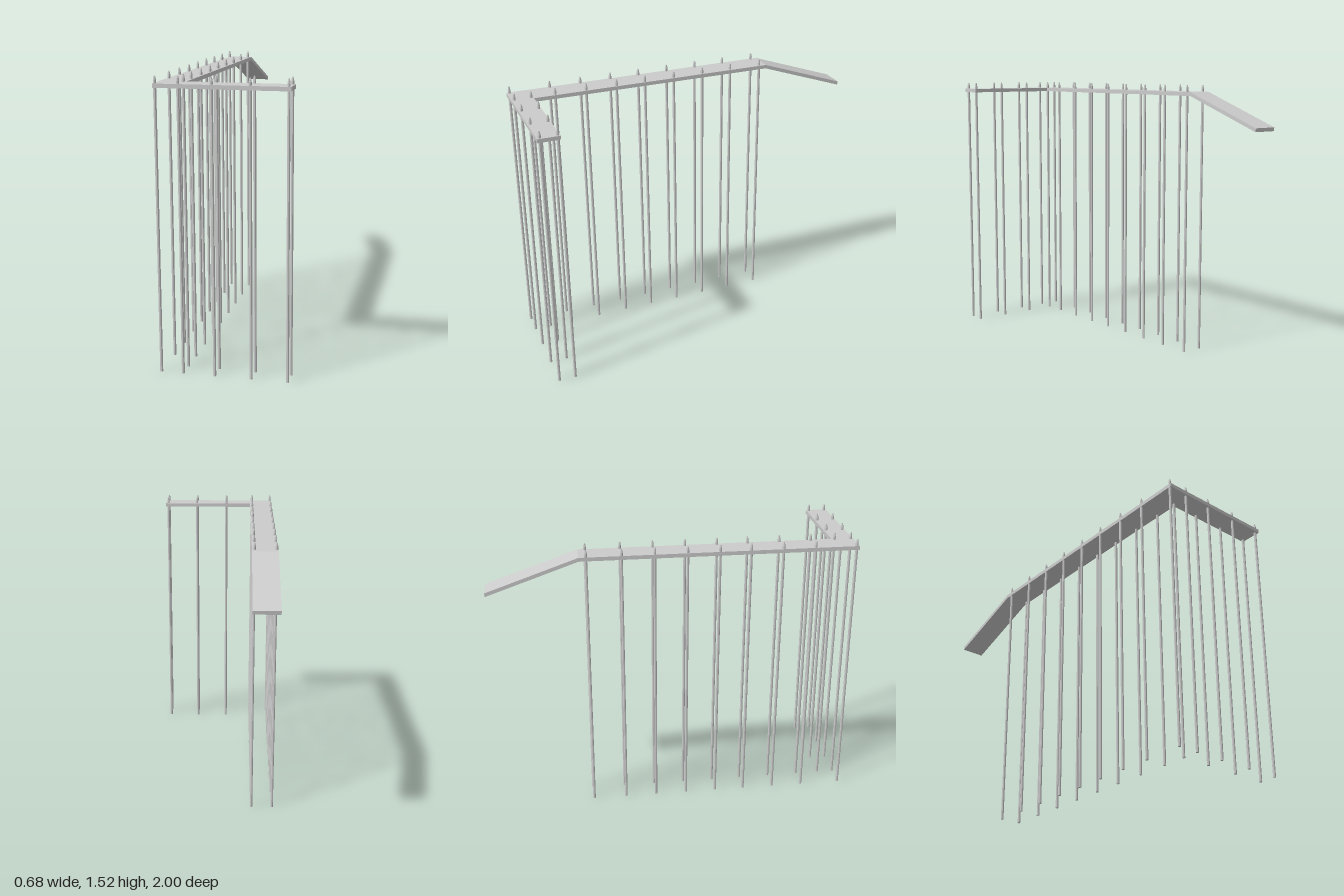
import * as THREE from 'three';

export function createModel() {
  const pier = new THREE.Group();
  pier.name = 'pier';
  const mat = new THREE.MeshStandardMaterial({ color: 0xcccccc, flatShading: true });
  const add = (geometry, name, parent = pier) => {
    const mesh = new THREE.Mesh(geometry, mat);
    mesh.name = name;
    parent.add(mesh);
    return mesh;
  };
  const outline = (points) => new THREE.Shape(points.map(([x, y]) => new THREE.Vector2(x, y)));
  const left = -0.34, inner = -0.203, right = 0.34;
  const deckTop = 1.48, thickness = 0.021;

  // L-shaped walkway, drawn in x/z and extruded downwards
  const walkway = outline([
    [left, -0.505], [inner, -0.505], [inner, 0.88], [right, 0.88], [right, 1], [left, 1],
  ]);
  const deck = new THREE.ExtrudeGeometry(walkway, { depth: thickness, bevelEnabled: false });
  deck.rotateX(Math.PI / 2);
  add(deck, 'walkway').position.y = deckTop;

  // Sloping ramp, drawn from the side (-z, y) and extruded across x
  const slope = outline([
    [0.505, deckTop - thickness], [0.997, 1.287], [1, 1.307], [0.505, deckTop],
  ]);
  const ramp = new THREE.ExtrudeGeometry(slope, { depth: inner - left, bevelEnabled: false });
  ramp.rotateY(Math.PI / 2);
  add(ramp, 'ramp').position.x = left;

  // Piles: slim shaft with a bluntly pointed cap
  const r = 0.0078;
  const pileProfile = [[0, 0], [r, 0], [r, 1.495], [r * 0.75, 1.507], [r * 0.4, 1.517], [0, 1.517]]
    .map(([x, y]) => new THREE.Vector2(x, y));
  const pileGeometry = new THREE.LatheGeometry(pileProfile, 8, Math.PI / 8);
  const piles = new THREE.Group();
  piles.name = 'piles';
  pier.add(piles);
  const pile = (x, z) => add(pileGeometry, 'pile', piles).position.set(x, 0, z);

  // Pairs along the long walkway
  for (const z of [-0.466, -0.28, -0.105, 0.07, 0.243, 0.41, 0.585, 0.76, 0.985]) {
    for (const x of [-0.332, -0.216]) pile(x, z);
  }
  // Inner corner pile and pairs along the short arm
  pile(-0.216, 0.893);
  for (const x of [-0.05, 0.14, 0.326]) {
    for (const z of [0.893, 0.985]) pile(x, z);
  }

  return pier;
}
